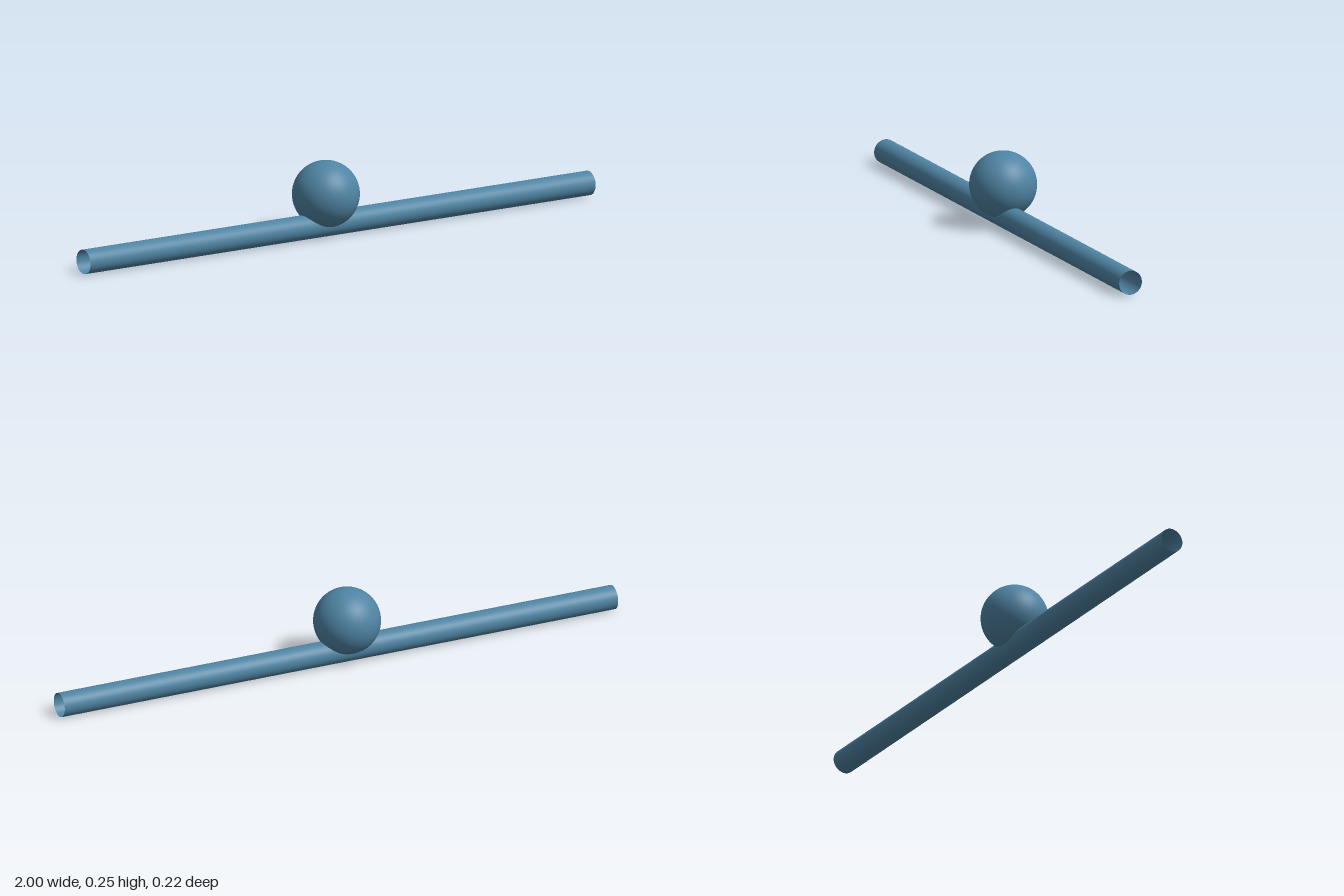
import * as THREE from 'three';

const TUBE_R = 0.04, TUBE_Y = 0.04;
const BALL_R = 0.11, BALL_X = -0.04, BALL_Y = 0.14;

// Half of the open tube, its inner rim trimmed where it enters the ball
function tubeHalf(side) {
  const g = new THREE.CylinderGeometry(TUBE_R, TUBE_R, 1, 96, 1, true).rotateZ(Math.PI / 2);
  const p = g.attributes.position;
  for (let i = 0; i < p.count; i++) {
    const y = p.getY(i) + TUBE_Y, z = p.getZ(i);
    const gap = Math.sqrt(Math.max(0, BALL_R ** 2 - (y - BALL_Y) ** 2 - z * z));
    p.setXYZ(i, p.getX(i) * side > 0 ? side : BALL_X + side * gap, y, z);
  }
  return g;
}

// Polar angle at which the ball's meridian phi runs into the tube
function rimAngle(phi) {
  let lo = Math.PI / 2, hi = Math.PI;
  for (let k = 0; k < 30; k++) {
    const t = (lo + hi) / 2;
    const y = BALL_Y + BALL_R * Math.cos(t) - TUBE_Y;
    const z = BALL_R * Math.sin(t) * Math.sin(phi);
    if (y * y + z * z < TUBE_R ** 2) hi = t; else lo = t;
  }
  return lo;
}

// Ball left open where it joins the tube
function openBall() {
  const g = new THREE.SphereGeometry(BALL_R, 96, 48);
  const { position, normal, uv } = g.attributes;
  const d = new THREE.Vector3();
  for (let i = 0; i < position.count; i++) {
    const phi = uv.getX(i) * Math.PI * 2;
    const row = Math.floor(i / 97) / 48;
    // the last two rows share the rim, since a sphere closes its last row with single triangles
    const theta = rimAngle(phi) * Math.min(1, row * 48 / 47);
    d.set(-Math.cos(phi) * Math.sin(theta), Math.cos(theta), Math.sin(phi) * Math.sin(theta));
    normal.setXYZ(i, d.x, d.y, d.z);
    position.setXYZ(i, BALL_X + d.x * BALL_R, BALL_Y + d.y * BALL_R, d.z * BALL_R);
  }
  return g;
}

export function createModel() {
  const group = new THREE.Group();
  const material = new THREE.MeshStandardMaterial({ color: 0x4f84a3, side: THREE.DoubleSide });
  const add = (name, geometry) => {
    const mesh = new THREE.Mesh(geometry, material);
    mesh.name = name;
    group.add(mesh);
  };
  add('leftTube', tubeHalf(1));
  add('rightTube', tubeHalf(-1));
  add('ball', openBall());
  return group;
}
